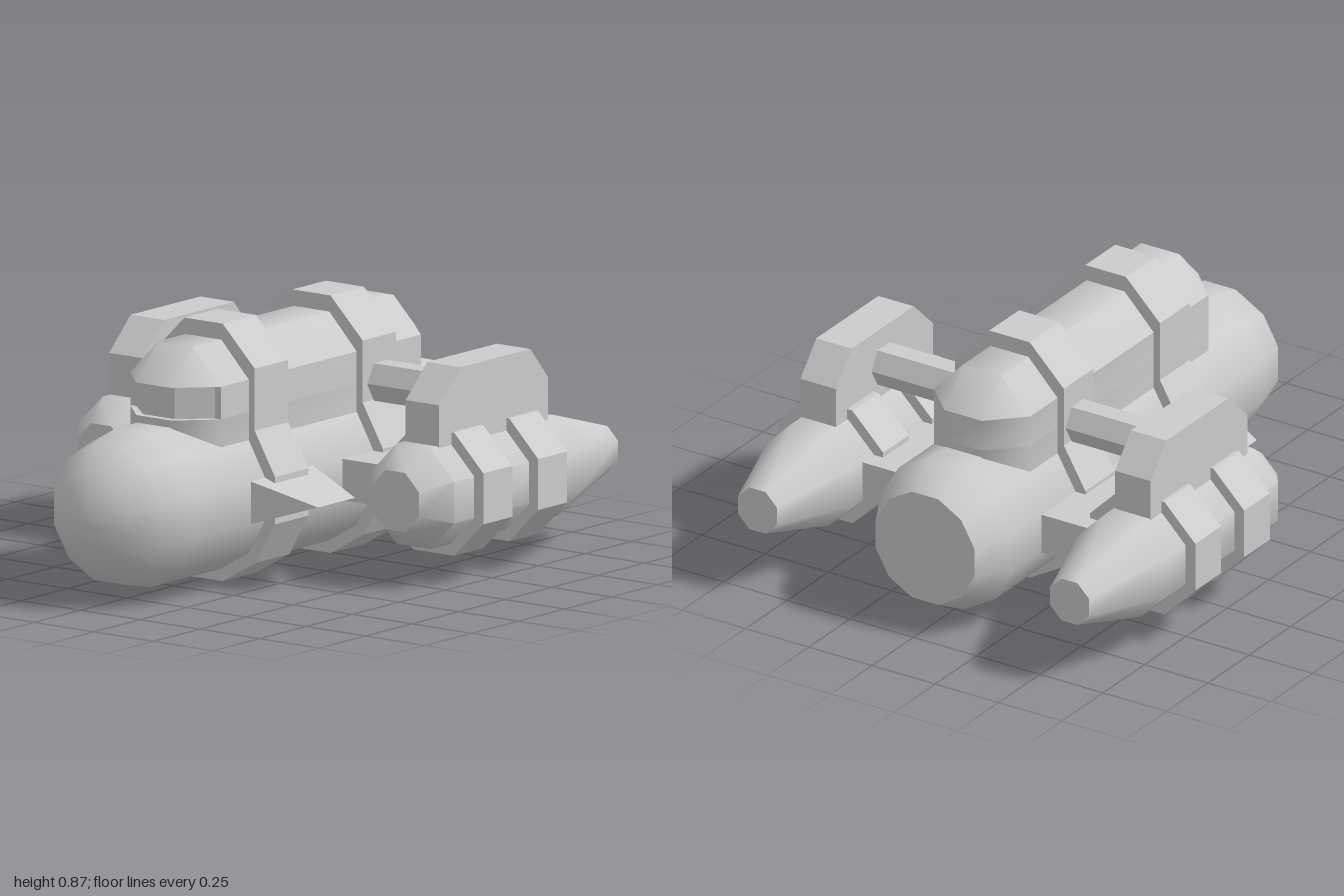
import * as THREE from 'three';
import { toCreasedNormals } from 'three/addons/utils/BufferGeometryUtils.js';

const material = new THREE.MeshStandardMaterial({ color: 0xcccccc });

function add(parent, name, geometry, x = 0, y = 0, z = 0) {
  const mesh = new THREE.Mesh(geometry, material);
  mesh.name = name;
  mesh.position.set(x, y, z);
  parent.add(mesh);
  return mesh;
}

// Faceted body along z with flats facing up and sideways; profile is [flat radius, z], back to front
function turned(profile, sides, crease) {
  const k = 1 / Math.cos(Math.PI / sides);
  const points = profile.map(([r, z]) => new THREE.Vector2(r * k, z));
  const geo = new THREE.LatheGeometry(points, sides, Math.PI / sides).rotateX(Math.PI / 2);
  return toCreasedNormals(geo, crease);
}

// Closed solid between two loops of [x, y, z], counter-clockwise seen from the end loop
function loft(start, end, crease = 0.1) {
  const n = start.length;
  const index = [];
  for (let i = 0; i < n; i++) {
    const j = (i + 1) % n;
    index.push(i, j, n + j, i, n + j, n + i);
    if (i > 0 && i < n - 1) index.push(0, i + 1, i, n, n + i, n + i + 1);
  }
  const geo = new THREE.BufferGeometry();
  geo.setAttribute('position', new THREE.Float32BufferAttribute([...start, ...end].flat(), 3));
  geo.setIndex(index);
  return toCreasedNormals(geo, crease);
}

function extrude(points, depth) {
  const shape = new THREE.Shape(points.map(([x, y]) => new THREE.Vector2(x, y)));
  return new THREE.ExtrudeGeometry(shape, { depth, bevelEnabled: false }).translate(0, 0, -depth / 2);
}

// Long plan outline with cut corners at height y
function outline(y, w, endW, front, frontCut, back, backCut) {
  return [
    [w, y, frontCut], [w, y, backCut], [endW, y, back], [-endW, y, back],
    [-w, y, backCut], [-w, y, frontCut], [-endW, y, front], [endW, y, front],
  ];
}

export function createModel() {
  const model = new THREE.Group();
  model.name = 'spacecraft';

  // Main hull with rounded nose
  add(model, 'hull', turned([
    [0, -0.93], [0.195, -0.93], [0.26, -0.8], [0.26, 0.72],
    [0.23, 0.85], [0.155, 0.94], [0.065, 1], [0, 1],
  ], 12, 0.7), 0, 0.3, 0);

  // Upper cabin: base, recessed window, middle and chamfered roof
  const cabin = new THREE.Group();
  cabin.name = 'cabin';
  model.add(cabin);
  const full = (y) => outline(y, 0.19, 0.075, 0.605, 0.49, -0.7, -0.585);
  const middle = (y) => outline(y, 0.19, 0.075, 0.49, 0.49, -0.7, -0.585);
  const glass = (y) => outline(y, 0.17, 0.065, 0.58, 0.485, 0.4, 0.4);
  const ridge = outline(0.815, 0.075, 0.075, 0.49, 0.49, -0.585, -0.585);
  add(cabin, 'cabinBase', loft(full(0.45), full(0.585), 0.9));
  add(cabin, 'cabinMiddle', loft(middle(0.585), middle(0.695), 0.9));
  add(cabin, 'window', loft(glass(0.57), glass(0.71)));
  add(cabin, 'roof', loft(full(0.695), ridge, 1));

  // Bands wrapping the hull and cabin
  const half = [[0.08, 0], [0.22, 0.08], [0.3, 0.22], [0.3, 0.38], [0.215, 0.525], [0.215, 0.735], [0.08, 0.87]];
  const bandShape = [...half, ...half.map(([x, y]) => [-x, y]).reverse()];
  for (const [name, z] of [['frontBand', 0.25], ['rearBand', -0.33]]) {
    add(model, name, extrude(bandShape, 0.18), 0, 0, z);
  }

  for (const [side, s] of [['left', 1], ['right', -1]]) {
    const group = new THREE.Group();
    group.name = side + 'Side';
    model.add(group);

    // Wedge-shaped front wing
    const root = [[0.25, -0.075, 0.08], [0.25, 0.075, 0.08], [0.25, 0.075, 0.42], [0.25, -0.075, 0.42]];
    const tip = [[0.48, 0, 0.14], [0.48, 0, 0.14], [0.48, 0, 0.34], [0.48, 0, 0.34]];
    const wing = add(group, 'wing', loft(root, tip), 0, 0.3, 0);
    if (s < 0) wing.rotation.z = Math.PI;

    // Engine pod with two rings
    const x = s * 0.617;
    add(group, 'engine', turned([
      [0, -1], [0.077, -1], [0.17, -0.68], [0.17, 0], [0.1, 0.1], [0, 0.1],
    ], 8, 0.9), x, 0.3, 0);
    for (const z of [-0.185, -0.48]) {
      add(group, 'engineRing', turned([
        [0, -0.078], [0.208, -0.078], [0.208, 0.078], [0, 0.078],
      ], 8, 0.3), x, 0.3, z);
    }

    // Pylon joining the engine to the hull
    add(group, 'pylon', new THREE.BoxGeometry(0.35, 0.14, 0.55), s * 0.375, 0.298, -0.35);

    // Arched mount above the engine and its strut
    const arch = [[-0.04, 0.42], [-0.04, 0.61], [-0.155, 0.72], [-0.53, 0.72], [-0.625, 0.61], [-0.625, 0.42]];
    add(group, 'arch', extrude(arch.reverse(), 0.14).rotateY(-Math.PI / 2), s * 0.622, 0, 0);
    const rod = new THREE.CylinderGeometry(0.073, 0.073, 0.4, 6).rotateZ(Math.PI / 2);
    add(group, 'strut', toCreasedNormals(rod, 0.3), s * 0.38, 0.585, -0.337);
  }
  return model;
}
